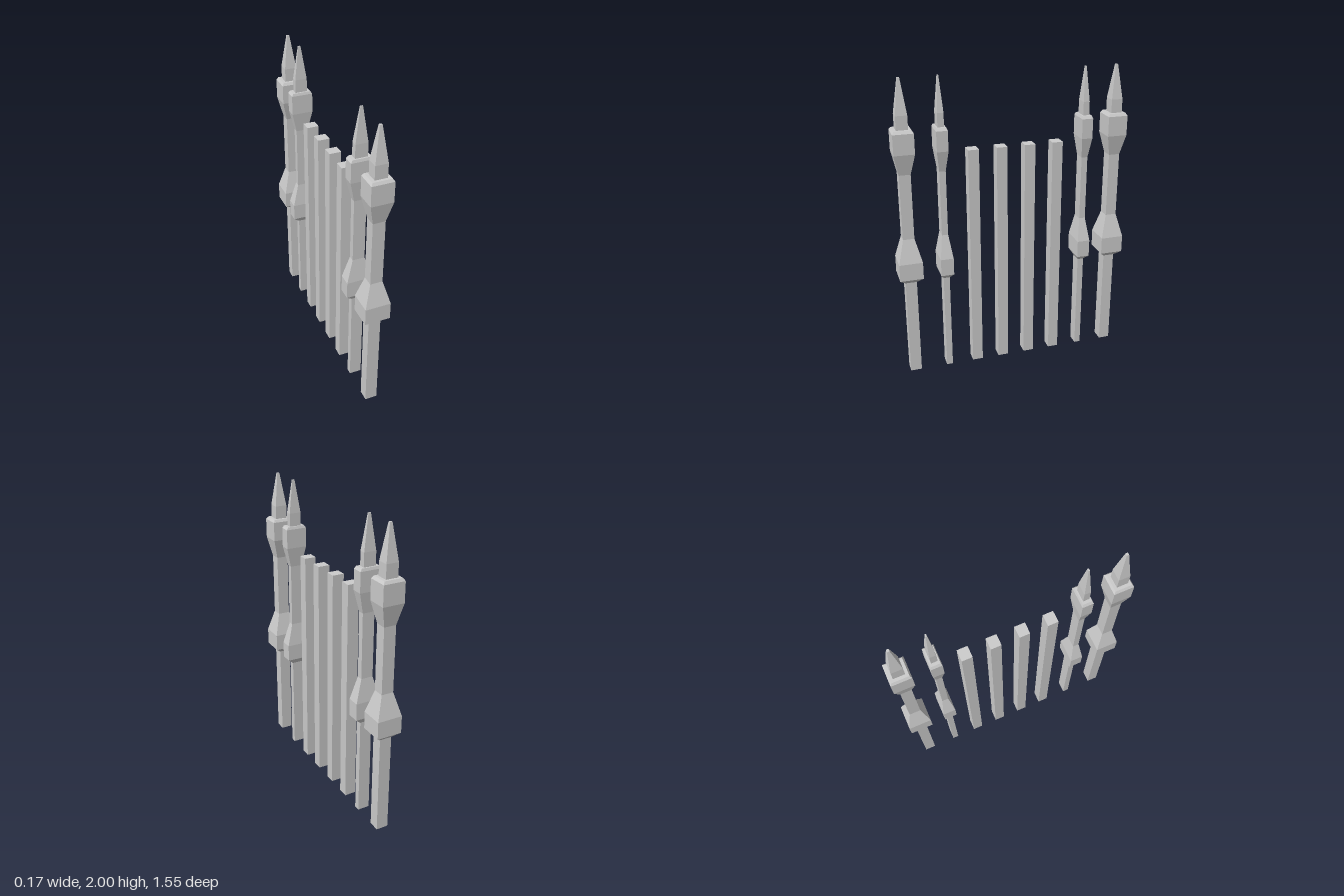
import * as THREE from 'three';

const material = new THREE.MeshStandardMaterial({ color: 0xcccccc, flatShading: true });

// Half width and height of the square post, from the foot to the tip
const POST_PROFILE = [
  [0, 0], [0.04, 0],
  [0.04, 0.672], [0.083, 0.71], [0.083, 0.825], [0.04, 0.98], // lower block
  [0.04, 1.41], [0.071, 1.545], [0.071, 1.675], [0.06, 1.692], // upper block
  [0.04, 1.692], [0.04, 1.78], [0.008, 2], [0, 2], // spike
];

// Four-sided lathe: the corners sit on the diagonals, so radius = half width * sqrt(2)
function squareLathe(profile) {
  const points = profile.map(([w, y]) => new THREE.Vector2(w * Math.SQRT2, y));
  const geometry = new THREE.LatheGeometry(points, 4, Math.PI / 4).toNonIndexed();
  geometry.computeVertexNormals();
  return geometry;
}

export function createModel() {
  const model = new THREE.Group();
  model.name = 'fence';

  // Spiked posts: [name, z, depth relative to width]
  const postGeometry = squareLathe(POST_PROFILE);
  const posts = [
    ['frontOuterPost', 0.698, 0.92],
    ['frontInnerPost', 0.463, 0.51],
    ['backInnerPost', -0.486, 0.51],
    ['backOuterPost', -0.698, 0.92],
  ];
  for (const [name, z, depth] of posts) {
    const post = new THREE.Mesh(postGeometry, material);
    post.name = name;
    post.position.z = z;
    post.scale.z = depth;
    model.add(post);
  }

  // Plain bars between the posts
  const barGeometry = new THREE.BoxGeometry(0.078, 1.53, 0.07);
  for (let i = 0; i < 4; i++) {
    const bar = new THREE.Mesh(barGeometry, material);
    bar.name = `bar${i + 1}`;
    bar.position.set(0, 0.765, 0.262 - i * 0.186);
    model.add(bar);
  }

  return model;
}
